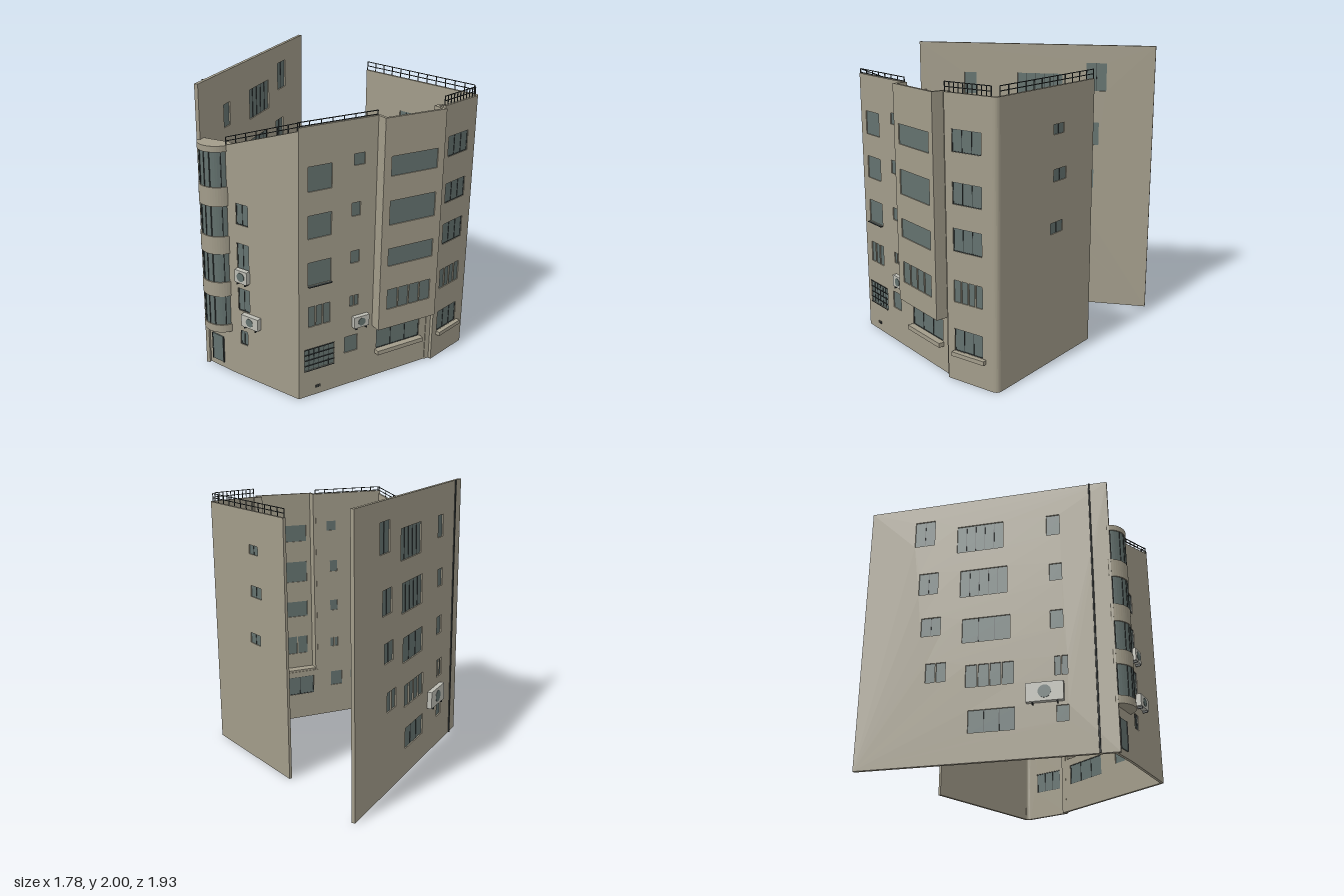
import * as THREE from 'three';

const mat = (name, color, side = THREE.FrontSide) => {
  const m = new THREE.MeshStandardMaterial({ color, side });
  m.name = name;
  return m;
};

export function createModel() {
  const plaster = mat('plaster', 0xa29c8a);
  const glass = mat('glass', 0x64726f);
  const dark = mat('dark metal', 0x343a3a);
  const white = mat('unit casing', 0xbdbdb4);
  const root = new THREE.Group();
  root.name = 'building';

  const add = (parent, name, geo, material, x = 0, y = 0, z = 0) => {
    const m = new THREE.Mesh(geo, material);
    m.name = name;
    m.position.set(x, y, z);
    parent.add(m);
    return m;
  };
  const box = (parent, name, material, w, h, d, x, y, z) =>
    add(parent, name, new THREE.BoxGeometry(w, h, d), material, x, y, z);

  // Vertical prism over a plan outline of [x, z] points
  const prism = (parent, name, material, pts, y0, y1) => {
    const shape = new THREE.Shape(pts.map(([x, z]) => new THREE.Vector2(x, -z)));
    const geo = new THREE.ExtrudeGeometry(shape, { depth: y1 - y0, bevelEnabled: false });
    geo.rotateX(-Math.PI / 2);
    return add(parent, name, geo, material, 0, y0, 0);
  };

  // Wall between two plan points, outside on local +z.
  // Windows are [from, to, bottom, top, panes, style]; from/to use the given world axis (0 = x, 1 = z).
  const wall = (name, p, q, { y0 = 0, h0 = 1.85, h1 = h0, axis = 0, t = 0.02, windows = [] }) => {
    const g = new THREE.Group();
    g.name = name;
    const dx = q[0] - p[0], dz = q[1] - p[1], len = Math.hypot(dx, dz);
    g.position.set(p[0], 0, p[1]);
    g.rotation.y = Math.atan2(-dz, dx);
    root.add(g);
    const along = (c) => ((c - p[axis]) / (q[axis] - p[axis])) * len;
    const rect = (Type, a, b, c, d) => new Type([[a, c], [b, c], [b, d], [a, d]].map((v) => new THREE.Vector2(...v)));
    const shape = new THREE.Shape([[0, y0], [len, y0], [len, h1], [0, h0]].map((v) => new THREE.Vector2(...v)));
    for (const [from, to, b, top, panes = 1, style = 'thin'] of windows) {
      const u0 = Math.min(along(from), along(to)), u1 = Math.max(along(from), along(to));
      const w = u1 - u0, h = top - b, mx = (u0 + u1) / 2, my = (b + top) / 2;
      shape.holes.push(rect(THREE.Path, u0, u1, b, top));
      box(g, 'windowGlass', glass, w, h, 0.006, mx, my, -t / 2);
      const solid = style === 'solid';
      for (let i = 1; i < panes; i++)
        box(g, 'mullion', solid ? plaster : dark, solid ? 0.009 : 0.004, h, solid ? t : 0.012, u0 + (w * i) / panes, my, -t / 2);
      if (style === 'grille')
        for (let i = 0; i <= 4; i++) box(g, 'grilleBar', dark, w, 0.004, 0.006, mx, b + (h * i) / 4, 0.003);
      if (style === 'frame')
        for (const s of [-1, 1]) {
          box(g, 'frameSide', dark, 0.004, h, 0.012, mx + s * (w / 2 - 0.002), my, -t / 2);
          box(g, 'frameRail', dark, w, 0.004, 0.012, mx, my + s * (h / 2 - 0.002), -t / 2);
        }
    }
    add(g, 'wallPanel', new THREE.ExtrudeGeometry(shape, { depth: t, bevelEnabled: false }), plaster, 0, 0, -t);
    return { g, len, along, h0, h1 };
  };

  // Roof railing that follows the top of a wall
  const railing = ({ g, len, h0, h1 }, height, posts) => {
    const slope = Math.atan2(h1 - h0, len), run = Math.hypot(len, h1 - h0);
    for (let i = 0; i <= posts; i++)
      box(g, 'railPost', dark, 0.005, height, 0.005, (len * i) / posts, h0 + ((h1 - h0) * i) / posts + height / 2, -0.01);
    for (const f of [0.5, 1])
      box(g, 'rail', dark, run, 0.005, 0.005, len / 2, (h0 + h1) / 2 + height * f, -0.01).rotation.z = slope;
  };

  // Air conditioner with fan and brackets on a wall
  const airUnit = ({ g, along }, c, y, w, h, d = 0.035) => {
    const unit = new THREE.Group();
    unit.name = 'airConditioner';
    unit.position.set(along(c), y, d / 2 + 0.003);
    g.add(unit);
    box(unit, 'casing', white, w, h, d, 0, 0, 0);
    const fan = add(unit, 'fan', new THREE.CylinderGeometry(h * 0.34, h * 0.34, 0.004, 20), glass, 0, 0, d / 2 + 0.001);
    fan.rotation.x = Math.PI / 2;
    for (const s of [-1, 1]) box(unit, 'bracket', dark, 0.007, 0.015, d, s * w * 0.33, -h / 2 - 0.007, 0);
  };

  const frontRows = [[1.495, 1.635], [1.17, 1.31], [0.87, 1.02], [0.535, 0.68], [0.205, 0.355]];

  // Tall back wall
  const back = wall('backWall', [0.5, -0.96], [-0.87, 0.16], {
    h0: 2, axis: 1, t: 0.025,
    windows: [
      [-0.32, -0.535, 1.57, 1.785, 5], [-0.3, -0.515, 1.205, 1.415, 5], [-0.285, -0.5, 0.85, 1.03, 3],
      [-0.27, -0.48, 0.52, 0.68, 4, 'solid'], [-0.265, -0.465, 0.2, 0.355, 3],
      [-0.645, -0.74, 1.665, 1.87, 2], [-0.62, -0.71, 1.26, 1.43, 2], [-0.6, -0.69, 0.93, 1.07, 2],
      [-0.57, -0.66, 0.58, 0.72, 2, 'solid'],
      [-0.12, -0.06, 1.62, 1.78], [-0.11, -0.055, 1.255, 1.385], [-0.11, -0.055, 0.89, 1.025],
      [-0.095, -0.04, 0.55, 0.685, 2, 'solid'], [-0.09, -0.04, 0.23, 0.34],
    ],
  });
  airUnit(back, -0.135, 0.43, 0.25, 0.13);
  add(back.g, 'drainPipe', new THREE.CylinderGeometry(0.006, 0.006, 2, 10), dark, back.along(0.08), 1, 0.006);

  // Left wall with sloping top
  const left = wall('leftWall', [-0.765, 0.36], [-0.53, 0.88], {
    h0: 1.64, h1: 1.83,
    windows: [
      [-0.735, -0.695, 1.125, 1.27, 2, 'frame'], [-0.735, -0.695, 0.8, 0.995, 2, 'frame'],
      [-0.735, -0.695, 0.505, 0.67, 2, 'frame'], [-0.73, -0.705, 0.25, 0.355, 2, 'frame'],
    ],
  });
  railing(left, 0.05, 7);
  airUnit(left, -0.712, 0.775, 0.1, 0.09);
  airUnit(left, -0.685, 0.46, 0.14, 0.085);

  // Front wall
  const front = wall('frontWall', [-0.53, 0.88], [0.03, 0.88], {
    h0: 1.85,
    windows: [
      [-0.465, -0.296, 1.44, 1.6], [-0.465, -0.296, 1.13, 1.285], [-0.465, -0.296, 0.81, 0.97],
      [-0.46, -0.3, 0.515, 0.66, 3, 'solid'], [-0.49, -0.265, 0.195, 0.355, 6, 'grille'],
      [-0.14, -0.06, 1.555, 1.63], [-0.15, -0.085, 1.22, 1.31], [-0.15, -0.085, 0.895, 0.98],
      [-0.15, -0.085, 0.585, 0.66, 2, 'solid'], [-0.185, -0.085, 0.245, 0.365],
    ],
  });
  railing({ ...front, h0: 1.83, h1: 1.83 }, 0.05, 7);
  airUnit(front, -0.073, 0.47, 0.115, 0.08, 0.03);
  for (const x of [-0.4, -0.385, -0.37]) box(front.g, 'vent', dark, 0.006, 0.02, 0.004, front.along(x), 0.06, 0.002);
  box(front.g, 'windowShelf', dark, 0.17, 0.005, 0.02, front.along(-0.38), 0.808, 0.01);

  // Overhanging front bay above a recessed ground floor
  wall('overhangWall', [0.03, 0.957], [0.485, 0.967], {
    y0: 0.4,
    windows: [
      [0.085, 0.435, 1.47, 1.6], [0.085, 0.435, 1.14, 1.305], [0.085, 0.435, 0.85, 0.975],
      [0.09, 0.43, 0.535, 0.68, 4, 'solid'],
    ],
  });
  prism(root, 'overhangFloor', plaster, [[0.03, 0.865], [0.485, 0.865], [0.485, 0.966], [0.03, 0.956]], 0.395, 0.415);
  for (const x of [0.04, 0.475]) box(root, 'overhangSide', plaster, 0.02, 1.45, 0.092, x, 1.125, 0.908);
  const shop = wall('groundFloorWall', [0.03, 0.88], [0.485, 0.88], {
    h0: 0.4, windows: [[0.07, 0.425, 0.205, 0.355, 3, 'frame']],
  });
  box(shop.g, 'sill', plaster, 0.375, 0.03, 0.04, shop.along(0.247), 0.19, 0.02);
  box(root, 'pilaster', plaster, 0.045, 1.85, 0.025, 0.505, 0.925, 0.872);

  // Angled right front wall, rounded corner and side wall
  const corner = wall('rightFrontWall', [0.523, 0.907], [0.85, 0.81], {
    windows: frontRows.map(([b, t], i) => [0.575, 0.785, b, t, i === 3 ? 4 : 3, i === 3 ? 'solid' : 'frame']),
  });
  railing(corner, 0.06, 10);
  box(corner.g, 'sill', plaster, 0.25, 0.028, 0.03, corner.along(0.69), 0.19, 0.015);
  const arc = (a, c, b) => new THREE.QuadraticBezierCurve(...[a, c, b].map((v) => new THREE.Vector2(...v)))
    .getPoints(8).map((v) => [v.x, v.y]);
  prism(root, 'roundedCorner', plaster, [
    ...arc([0.85, 0.81], [0.894, 0.797], [0.884, 0.757]),
    ...arc([0.864, 0.761], [0.871, 0.783], [0.844, 0.791]),
  ], 0, 1.85);
  const side = wall('rightWall', [0.884, 0.757], [0.665, -0.19], {
    axis: 1,
    windows: [[0.25, 0.14, 1.545, 1.61, 2], [0.245, 0.11, 1.24, 1.32, 2], [0.27, 0.14, 0.895, 0.97, 2]],
  });
  railing(side, 0.06, 12);

  // Curved bay: solid bands alternating with glazing
  const bay = new THREE.Group();
  bay.name = 'curvedBay';
  root.add(bay);
  const outline = (r) => {
    const pts = [[-0.82, 0.14], [-0.7, 0.33]];
    for (let i = 0; i <= 20; i++) {
      const a = THREE.MathUtils.degToRad(70 + (155 * i) / 20);
      pts.push([-0.765 + r * Math.cos(a), 0.24 + r * Math.sin(a)]);
    }
    return pts;
  };
  const bands = [[0.32, 0.375], [0.59, 0.695], [0.9, 1.025], [1.235, 1.365], [1.6, 1.64]];
  bands.forEach(([b, t], i) => {
    prism(bay, 'bayBand', plaster, outline(0.13), b, t);
    if (i === 4) return;
    const top = bands[i + 1][0];
    prism(bay, 'bayGlazing', glass, outline(0.122), t, top);
    for (const deg of [105, 140, 160, 180, 215]) {
      const a = THREE.MathUtils.degToRad(deg);
      box(bay, 'bayMullion', dark, 0.005, top - t, 0.005,
        -0.765 + 0.123 * Math.cos(a), (t + top) / 2, 0.24 + 0.123 * Math.sin(a));
    }
  });

  // Recessed entrance below the bay
  const entry = wall('entranceWall', [-0.845, 0.15], [-0.765, 0.36], { h0: 0.32 });
  box(entry.g, 'door', glass, 0.1, 0.2, 0.008, 0.1, 0.145, 0.004);
  for (const s of [-1, 1]) box(entry.g, 'doorFrame', dark, 0.006, 0.2, 0.012, 0.1 + s * 0.05, 0.145, 0.006);

  return root;
}
